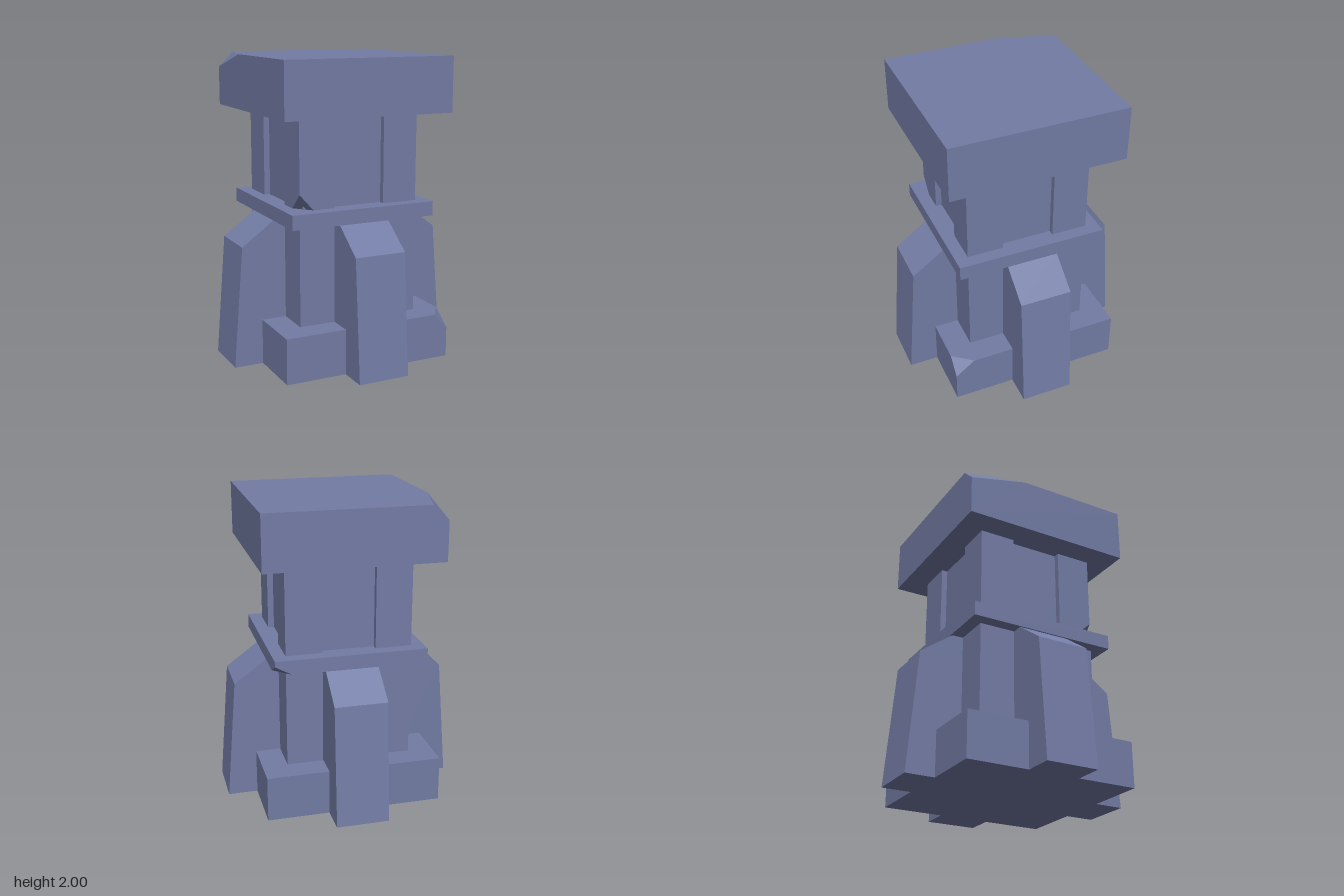
import * as THREE from 'three';

const stone = new THREE.MeshStandardMaterial({ color: 0x737ca5, flatShading: true });

// Box from min to max with chips knocked out of its edges and corners.
// Each chip is a loop of points lying on the box surface around the break.
function chippedBox(min, max, chips = []) {
  const positions = [];
  const centre = new THREE.Vector3(...min).add(new THREE.Vector3(...max)).multiplyScalar(0.5);
  const tri = (pts, outward) => {
    const [a, b, c] = pts.map((p) => new THREE.Vector3(...p));
    const n = b.clone().sub(a).cross(c.clone().sub(a));
    const out = outward || a.clone().add(b).add(c).divideScalar(3).sub(centre);
    const order = n.dot(out) < 0 ? [a, c, b] : [a, b, c];
    order.forEach((p) => positions.push(p.x, p.y, p.z));
  };
  const near = (a, b) => Math.abs(a - b) < 1e-5;

  for (let axis = 0; axis < 3; axis++) {
    for (const side of [min, max]) {
      const u = (axis + 1) % 3, v = (axis + 2) % 3;
      const flat = (p) => [(p[u] - min[u]) / (max[u] - min[u]), (p[v] - min[v]) / (max[v] - min[v])];
      // position around the face outline, 0 to 4
      const around = (p) => {
        const [s, t] = flat(p);
        return (near(t, 0) ? s : near(s, 1) ? 1 + t : near(t, 1) ? 3 - s : 4 - t) % 4;
      };
      let entries = [[0, 0], [1, 0], [1, 1], [0, 1]].map(([s, t], i) => {
        const p = [];
        p[axis] = side[axis];
        p[u] = s ? max[u] : min[u];
        p[v] = t ? max[v] : min[v];
        return { at: i, pts: [p] };
      });
      for (const chip of chips) {
        const n = chip.length;
        const on = chip.map((p) => near(p[axis], side[axis]));
        const start = on.findIndex((f, i) => f && !on[(i + n - 1) % n]);
        if (start < 0) continue;
        const run = [];
        for (let i = start; on[i % n] && run.length < n; i++) run.push(chip[i % n]);
        if (run.length < 2) continue;
        const span = () => (around(run[run.length - 1]) - around(run[0]) + 4) % 4;
        if (span() > 2) run.reverse();
        const from = around(run[0]), length = span();
        entries = entries.filter((e) => e.pts.length > 1 || (e.at - from + 4) % 4 >= length);
        entries.push({ at: from, pts: run });
      }
      const loop = entries.sort((a, b) => a.at - b.at).flatMap((e) => e.pts);
      const outward = new THREE.Vector3().setComponent(axis, side === max ? 1 : -1);
      const outline = loop.map((p) => new THREE.Vector2(...flat(p)));
      THREE.ShapeUtils.triangulateShape(outline, []).forEach((f) => tri(f.map((i) => loop[i]), outward));
    }
  }
  // broken surfaces
  for (const chip of chips) {
    for (let i = 1; i < chip.length - 1; i++) tri([chip[0], chip[i], chip[i + 1]]);
  }
  const geometry = new THREE.BufferGeometry();
  geometry.setAttribute('position', new THREE.Float32BufferAttribute(positions, 3));
  geometry.computeVertexNormals();
  return geometry;
}

export function createModel() {
  const model = new THREE.Group();
  const add = (name, geometry, parent = model) => {
    const mesh = new THREE.Mesh(geometry, stone);
    mesh.name = name;
    parent.add(mesh);
    return mesh;
  };

  // Square plinth
  const B = 0.58;
  add('plinth', chippedBox([-B, 0, -B], [B, 0.3, B], [
    [[0.48, 0.3, B], [B, 0.2, B], [B, 0.3, 0.45]],
    [[-0.5, 0.3, B], [-0.3, 0.265, B], [-0.23, 0.3, B], [-0.34, 0.3, 0.48]],
    [[-0.25, 0.3, -B], [-0.42, 0.265, -B], [-0.53, 0.3, -B], [-0.36, 0.3, -0.48]],
  ]));

  // Recessed core with four corner pillars
  add('core', chippedBox([-0.375, 0.1, -0.375], [0.375, 1.7, 0.375]));
  const I = 0.175, O = 0.415, Y = 1.055;
  const pillarChips = {
    '-1,1': [[[-O, 1.16, O], [-0.32, Y, O], [-O, Y, 0.3]]],
    '1,1': [[[I, 1.06, O], [0.195, 1.22, O], [I, 1.43, O], [I, 1.22, 0.395]]],
  };
  for (const sx of [-1, 1]) {
    for (const sz of [-1, 1]) {
      const x = [sx * I, sx * O].sort((a, b) => a - b);
      const z = [sz * I, sz * O].sort((a, b) => a - b);
      add('lowerPillar', chippedBox([x[0], 0.2, z[0]], [x[1], 1, z[1]]));
      add('upperPillar', chippedBox([x[0], Y, z[0]], [x[1], 1.66, z[1]], pillarChips[`${sx},${sz}`]));
    }
  }

  // Collar slab
  const C = 0.5;
  add('collar', chippedBox([-C, 0.96, -C], [C, Y, C], [
    [[C, 0.96, -0.39], [C, 1.02, -C], [0.39, 0.96, -C]],
    [[0.15, Y, -C], [-0.2, 1.025, -C], [-0.3, Y, -C], [-0.12, Y, -0.43]],
  ]));

  // Cap block
  add('cap', chippedBox([-B, 1.64, -B], [B, 2, B], [
    [[-0.42, 2, B], [0.2, 1.96, B], [0.32, 2, B], [0.2, 2, 0.52]],
    [[-0.475, 2, -B], [-B, 1.9, -B], [-B, 2, -0.18]],
    [[B, 1.64, 0.42], [B, 1.71, 0.2], [B, 1.66, -0.2], [B, 1.64, -0.29], [0.5, 1.64, -0.1], [0.48, 1.64, 0.2]],
  ]));

  // Four tapering buttresses with sloped heads
  const W = 0.173, R = 0.775;
  const head = new THREE.Shape([[0.3, 0.8], [0.71, 0.8], [0.49, 0.96], [0.3, 0.96]].map((p) => new THREE.Vector2(...p)));
  for (let i = 0; i < 4; i++) {
    const buttress = new THREE.Group();
    buttress.name = 'buttress';
    const chips = i === 0 ? [[[R, 0.27, -W], [R, 0.4, -0.14], [R, 0.54, -W], [0.72, 0.4, -W]]] : [];
    const shaft = chippedBox([0.3, 0, -W], [R, 0.8, W], chips);
    // lean the outer face inwards with height
    const p = shaft.attributes.position;
    for (let k = 0; k < p.count; k++) {
      p.setX(k, p.getX(k) - 0.065 * (p.getY(k) / 0.8) * ((p.getX(k) - 0.3) / (R - 0.3)));
    }
    shaft.computeVertexNormals();
    add('buttressShaft', shaft, buttress);
    const top = new THREE.ExtrudeGeometry(head, { depth: 2 * W, bevelEnabled: false });
    add('buttressHead', top.translate(0, 0, -W), buttress);
    buttress.rotation.y = (i * Math.PI) / 2;
    model.add(buttress);
  }
  return model;
}
